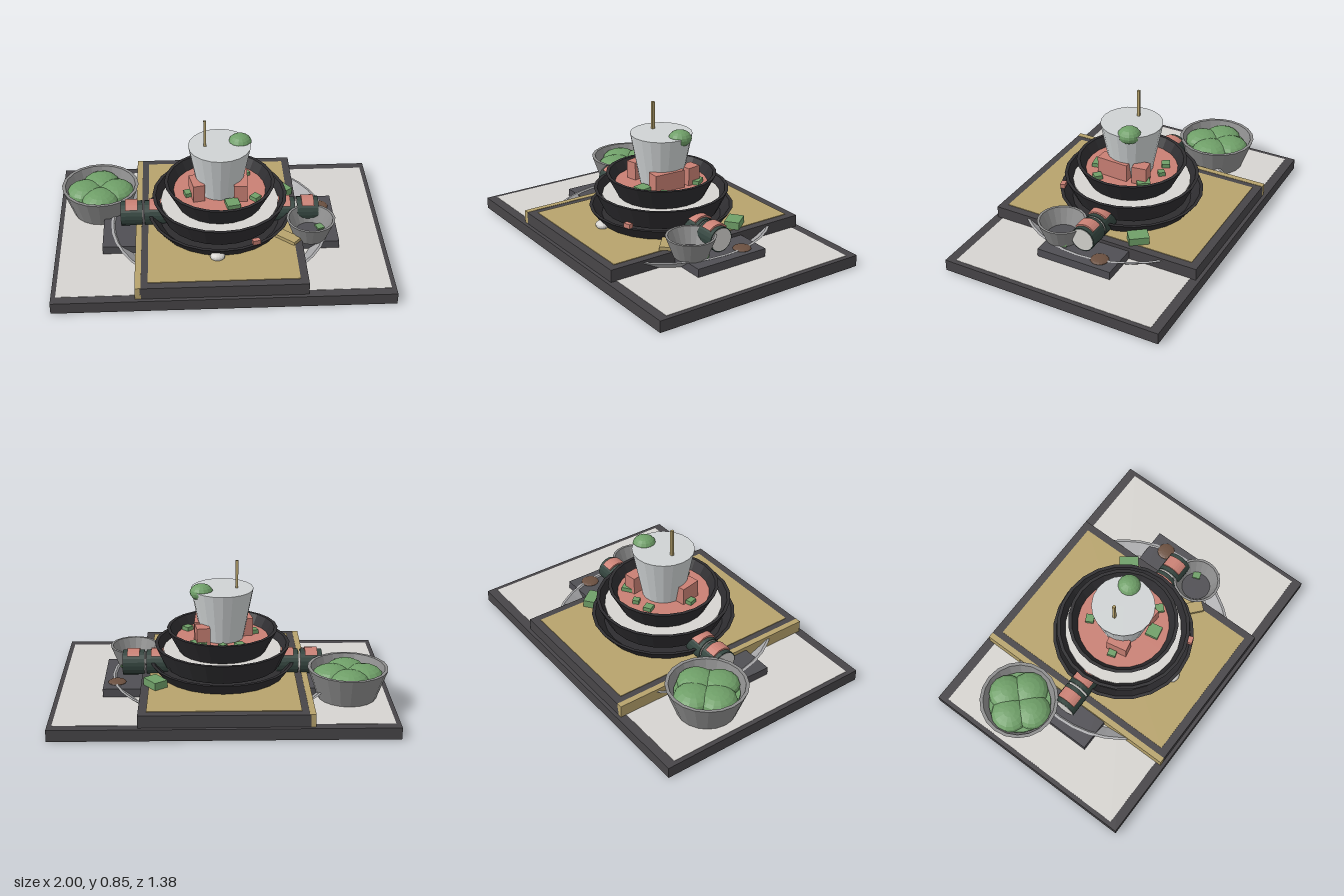
import * as THREE from 'three';

const mat = (color) => new THREE.MeshStandardMaterial({ color, flatShading: true, side: THREE.DoubleSide });
const M = {
  frame: mat(0x474548), black: mat(0x2d2c2f), gold: mat(0xb7a36c), pale: mat(0xd6d4d0),
  cup: mat(0xcfd3d4), grey: mat(0x8c8c8c), ring: mat(0xa9a9ab), slate: mat(0x504f54),
  green: mat(0x6f9f68), red: mat(0xc98074), nori: mat(0x34453f), brown: mat(0x6b5040),
};

export function createModel() {
  const model = new THREE.Group();

  const add = (name, geometry, material, x, y, z, parent = model) => {
    const mesh = new THREE.Mesh(geometry, material);
    mesh.name = name;
    mesh.position.set(x, y, z);
    parent.add(mesh);
    return mesh;
  };
  // Box given by its centre in x and z and its bottom and top
  const box = (name, material, x, z, w, d, y0, y1, turn = 0) => {
    const mesh = add(name, new THREE.BoxGeometry(w, y1 - y0, d), material, x, (y0 + y1) / 2, z);
    mesh.rotation.y = turn;
    return mesh;
  };
  const disc = (name, material, x, y, z, r, h = 0.01) =>
    add(name, new THREE.CylinderGeometry(r, r, h, 24), material, x, y, z);
  // Flared bowl with a thin wall and an inner floor
  const bowl = (name, material, x, z, r0, r1, y0, y1, wall = 0.02, sides = 24) => {
    const points = [[0, y0], [r0, y0], [r1, y1], [r1 - wall, y1], [r0 - wall, y0 + 0.015], [0, y0 + 0.015]]
      .map(([r, y]) => new THREE.Vector2(r, y));
    return add(name, new THREE.LatheGeometry(points, sides), material, x, 0, z);
  };
  const ball = (name, material, x, y, z, rx, ry, rz = rx) => {
    const mesh = add(name, new THREE.SphereGeometry(1, 14, 10), material, x, y, z);
    mesh.scale.set(rx, ry, rz);
    return mesh;
  };

  // Base board with pale inlay
  box('baseBoard', M.frame, 0, 0, 2, 1.385, 0, 0.07);
  box('baseInlay', M.pale, 0, 0, 1.945, 1.27, 0.06, 0.072);

  // Raised central tray with gold mat and side strip
  box('centreTray', M.frame, 0, 0, 0.975, 1.34, 0.07, 0.145);
  box('goldMat', M.gold, 0, 0, 0.88, 1.24, 0.14, 0.149);
  box('goldStrip', M.gold, -0.498, 0, 0.035, 1.34, 0.07, 0.147);

  // Side stand and flared plate rim
  box('sideStand', M.slate, 0, 0, 1.43, 0.48, 0.07, 0.123);
  const rim = [[0.6, 0.071], [0.67, 0.128], [0.655, 0.13], [0.585, 0.073]].map(([r, y]) => new THREE.Vector2(r, y));
  add('plateRim', new THREE.LatheGeometry(rim, 40), M.ring, 0, 0, 0);

  // Three stacked black bowls with their fillings
  bowl('lowerBowl', M.black, 0, 0, 0.385, 0.44, 0.146, 0.22);
  bowl('middleBowl', M.black, 0, 0, 0.35, 0.41, 0.2, 0.33);
  bowl('upperBowl', M.black, 0, 0, 0.265, 0.335, 0.29, 0.425);
  disc('paleFilling', M.pale, 0, 0.285, 0, 0.36);
  disc('redFilling', M.red, 0, 0.36, 0, 0.28);

  // Garnish inside the upper bowl: x, z, size, turn
  [[0.14, -0.15, 0.08, 0.6], [0.07, 0.18, 0.08, 0.2], [-0.19, 0.06, 0.05, 0.3],
    [0.21, 0.12, 0.05, 0.8], [0, -0.2, 0.04, 0.7], [-0.1, -0.18, 0.05, 0.5]]
    .forEach(([x, z, s, turn]) => box('greenGarnish', M.green, x, z, s, s, 0.36, 0.39, turn));
  [[-0.14, 0.07, 0.07, 0.13, 0.2], [0.125, 0.045, 0.08, 0.2, -0.05], [0.12, -0.125, 0.08, 0.09, 0.15]]
    .forEach(([x, z, w, d, turn]) => box('redBlock', M.red, x, z, w, d, 0.36, 0.475, turn));

  // Central cup with pick and green ball
  add('cup', new THREE.CylinderGeometry(0.188, 0.127, 0.315, 20), M.cup, 0, 0.5175, 0);
  box('pick', M.gold, -0.087, 0, 0.016, 0.016, 0.66, 0.845);
  ball('cupGarnish', M.green, 0.125, 0.665, -0.05, 0.07, 0.05);

  // Wrapped rolls on both sides
  for (const x of [-0.54, -0.395, 0.395, 0.54]) {
    const roll = new THREE.Group();
    roll.name = 'wrappedRoll';
    roll.position.set(x, 0.2, 0);
    model.add(roll);
    const wrap = add('rollWrap', new THREE.CylinderGeometry(0.076, 0.076, 0.13, 20), M.nori, 0, 0, 0, roll);
    const core = add('rollCore', new THREE.CylinderGeometry(0.07, 0.07, 0.134, 20), M.pale, 0, 0, 0, roll);
    wrap.rotation.z = core.rotation.z = Math.PI / 2;
    // Curved red slice over the top
    const slice = add('rollSlice', new THREE.CylinderGeometry(0.086, 0.086, 0.075, 8, 1, false, -0.8, 1.6), M.red, 0, 0, 0, roll);
    slice.rotation.set(0, 0, Math.PI / 2);
    slice.rotation.order = 'XYZ';
    slice.rotation.x = -Math.PI / 2;
  }

  // Left bowl filled with green balls
  bowl('leftBowl', M.grey, -0.74, -0.235, 0.175, 0.24, 0.071, 0.255, 0.02, 20);
  disc('leftBowlFilling', M.green, -0.74, 0.195, -0.235, 0.19);
  for (let i = 0; i < 4; i++) {
    const a = i * Math.PI / 2;
    ball('greenBall', M.green, -0.74 + 0.095 * Math.cos(a), 0.205, -0.235 + 0.095 * Math.sin(a), 0.115, 0.058);
  }

  // Small right bowl
  bowl('rightBowl', M.grey, 0.545, 0.17, 0.1, 0.148, 0.123, 0.248, 0.015, 20);
  disc('rightBowlFilling', M.slate, 0.545, 0.145, 0.17, 0.09);

  // Loose garnish on the tray and stand
  box('greenBlock', M.green, 0.4, -0.255, 0.09, 0.12, 0.149, 0.195, 0.65);
  box('smallGreenBlock', M.green, 0.61, 0.13, 0.05, 0.05, 0.124, 0.16, 0.35);
  box('goldSlice', M.gold, 0.4, 0.235, 0.07, 0.15, 0.149, 0.17, 0.85);
  box('redChip', M.red, 0.2, 0.37, 0.045, 0.03, 0.22, 0.248, 0.3);
  ball('brownDisc', M.brown, 0.635, 0.125, -0.13, 0.055, 0.013);
  ball('paleBead', M.pale, -0.03, 0.163, 0.41, 0.045, 0.025, 0.035);

  return model;
}
